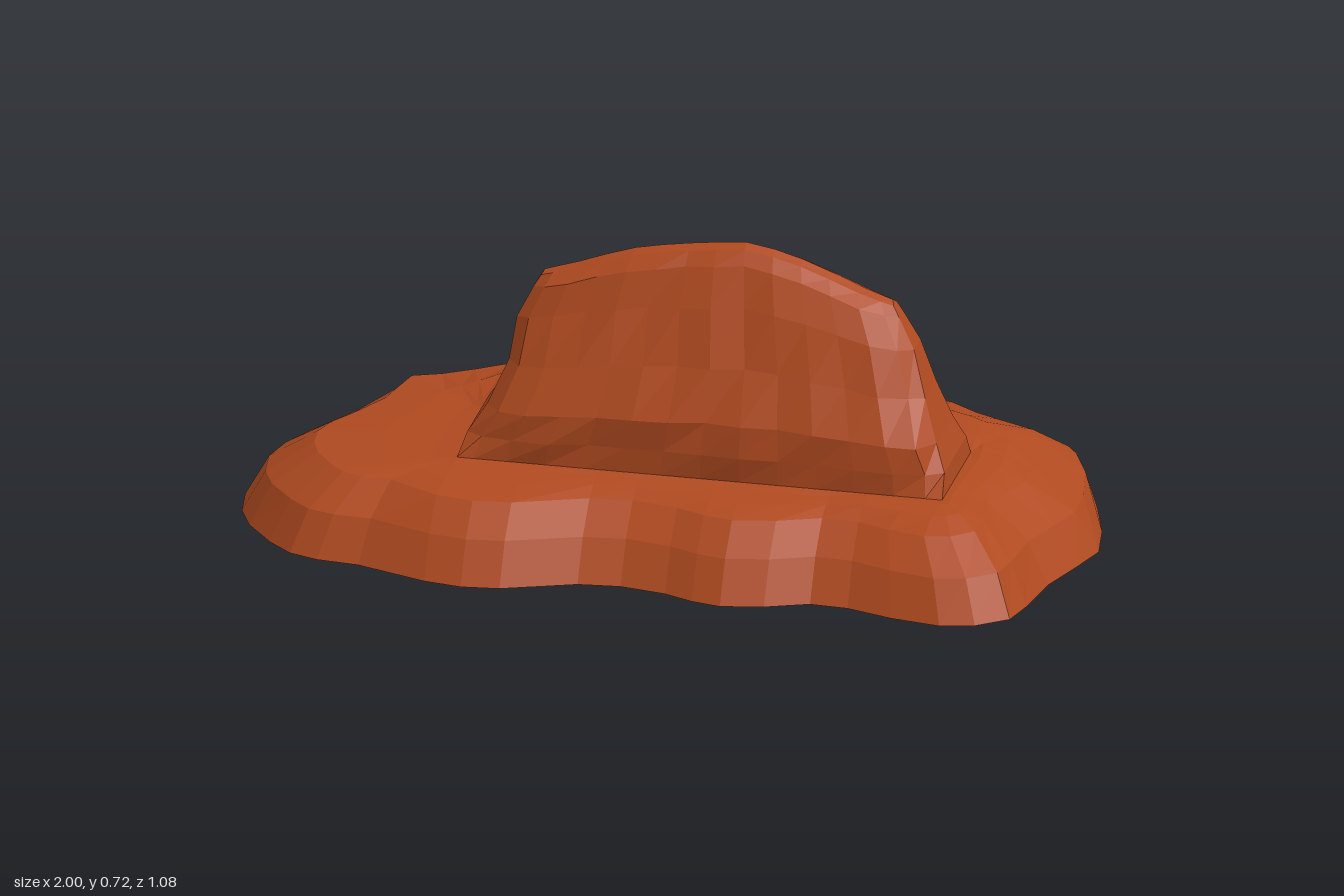
import * as THREE from 'three';

// Outline of the mound on the ground: x, z pairs, counter-clockwise from above
const OUTLINE = [
  1, 0, 0.98, -0.12, 0.94, -0.25, 0.89, -0.36, 0.86, -0.4, 0.74, -0.45, 0.66, -0.48, 0.57, -0.525,
  0.48, -0.54, 0.31, -0.54, 0.22, -0.525, 0.1, -0.46, 0.03, -0.425, -0.04, -0.415, -0.12, -0.43,
  -0.23, -0.49, -0.31, -0.53, -0.39, -0.54, -0.48, -0.525, -0.58, -0.47, -0.67, -0.43, -0.76, -0.4,
  -0.8, -0.31, -0.83, -0.24, -0.93, -0.09, -0.98, 0, -1, 0.1, -0.985, 0.2, -0.95, 0.28, -0.88, 0.37,
  -0.82, 0.425, -0.75, 0.45, -0.65, 0.46, -0.48, 0.52, -0.39, 0.535, -0.3, 0.525, -0.13, 0.46,
  -0.03, 0.45, 0.08, 0.47, 0.15, 0.5, 0.22, 0.515, 0.32, 0.495, 0.42, 0.455, 0.51, 0.46, 0.62, 0.495,
  0.74, 0.515, 0.82, 0.495, 0.89, 0.44, 0.91, 0.36, 0.93, 0.22, 0.97, 0.1,
];

// Footprint of the ridge, shared with the opening in the mound
const FOOT = { y: 0.2, left: -0.465, right: 0.685, back: -0.05, front: 0.245 };
const clamp = THREE.MathUtils.clamp;

// Skin a stack of closed rings, lowest first
function loft(rings) {
  const n = rings[0].length;
  const index = [];
  for (let r = 0; r < rings.length - 1; r++) {
    for (let i = 0; i < n; i++) {
      const a = r * n + i, b = r * n + (i + 1) % n;
      index.push(a, b, b + n, a, b + n, a + n);
    }
  }
  const geometry = new THREE.BufferGeometry();
  geometry.setAttribute('position', new THREE.Float32BufferAttribute(rings.flat(2), 3));
  geometry.setIndex(index);
  geometry.computeVertexNormals();
  return geometry;
}

// Piecewise linear lookup in [position, value] pairs
function sample(table, x) {
  for (let i = 1; i < table.length; i++) {
    const [x0, y0] = table[i - 1], [x1, y1] = table[i];
    if (x <= x1) return y0 + (y1 - y0) * Math.max(0, (x - x0) / (x1 - x0));
  }
  return table[table.length - 1][1];
}

// Low mound: rounded skirt, nearly flat top and an opening under the ridge
function moundGeometry() {
  const rings = [[], [], [], [], [], []];
  for (let i = 0; i < OUTLINE.length; i += 2) {
    const x = OUTLINE[i], z = OUTLINE[i + 1];
    const dx = clamp(x, -0.5, 0.5) - x, dz = 0.04 - z;
    const d = Math.hypot(dx, dz);
    const inset = (w, y) => [x + dx / d * w, y, z + dz / d * w];
    const back = clamp(-z * 4, 0, 1);
    const side = Math.abs(dx) / d;
    // the top swells a little behind the ridge and to its right
    const swell = back * sample([[-0.75, 0], [-0.4, 1], [0.6, 1], [0.9, 0.3]], x);
    const shoulder = inset(0.125 - 0.02 * back + 0.045 * side, 0.165);
    const rim = [clamp(x, FOOT.left, FOOT.right), FOOT.y, clamp(z, FOOT.back, FOOT.front)];
    const between = (t, y) => shoulder.map((v, k) => (k === 1 ? y : v + (rim[k] - v) * t));
    const tilt = x > 0.5 ? 0.008 : 0;
    rings[0].push([x, 0, z]);
    rings[1].push(inset(0.055 - 0.025 * back, 0.097));
    rings[2].push(shoulder);
    rings[3].push(between(0.45, 0.183 + 0.03 * swell + tilt));
    rings[4].push(between(0.82, 0.192 + 0.022 * swell + tilt));
    rings[5].push(rim);
  }
  return loft(rings);
}

// Steep rocky ridge: stacked rings that narrow to an uneven crest
function ridgeGeometry() {
  let seed = 7;
  const random = () => (seed = (seed * 16807) % 2147483647) / 2147483647 - 0.5;
  const crest = [[0, 0.61], [0.1, 0.637], [0.24, 0.68], [0.36, 0.7], [0.48, 0.714], [0.59, 0.722],
    [0.7, 0.703], [0.78, 0.68], [0.91, 0.635], [1, 0.61]];
  // height fraction, left x, right x, back z, front z, end width
  const levels = [
    [0, FOOT.left, FOOT.right, FOOT.back, FOOT.front, 1],
    [0.12, -0.45, 0.68, -0.072, 0.25, 0.7],
    [0.27, -0.41, 0.655, -0.064, 0.25, 0.55],
    [0.5, -0.37, 0.62, -0.045, 0.197, 0.45],
    [0.75, -0.355, 0.585, -0.014, 0.145, 0.45],
    [0.92, -0.32, 0.545, 0.02, 0.108, 0.5],
    [0.98, -0.305, 0.53, 0.035, 0.08, 0.7],
    [1, -0.3, 0.525, 0.055, 0.055, 1],
  ];
  const stations = [0, 0.035, 0.1, 0.18, 0.26, 0.34, 0.42, 0.5, 0.58, 0.66, 0.74, 0.82, 0.9, 0.965, 1];
  const rings = levels.map(([t, x0, x1, zBack, zFront, end]) => {
    const rough = t > 0 && t < 0.95 ? 0.018 : 0;
    const centre = (zBack + zFront) / 2;
    const point = (u, z) => {
      const taper = sample([[0, end], [0.06, 1], [0.94, 1], [1, end]], u);
      const height = (sample(crest, u) - FOOT.y) * t;
      return [x0 + (x1 - x0) * u, FOOT.y + height, centre + (z - centre) * taper + random() * rough];
    };
    return [
      ...[...stations].reverse().map((u) => point(u, zBack)),
      ...stations.map((u) => point(u, zFront)),
    ];
  });
  return loft(rings);
}

export function createModel() {
  const group = new THREE.Group();
  group.name = 'rockyMound';
  const clay = new THREE.MeshStandardMaterial({ color: 0xb04a20, flatShading: true, side: THREE.DoubleSide });
  clay.name = 'red clay';

  const mound = new THREE.Mesh(moundGeometry(), clay);
  mound.name = 'mound';
  const ridge = new THREE.Mesh(ridgeGeometry(), clay);
  ridge.name = 'ridge';
  group.add(mound, ridge);
  return group;
}
